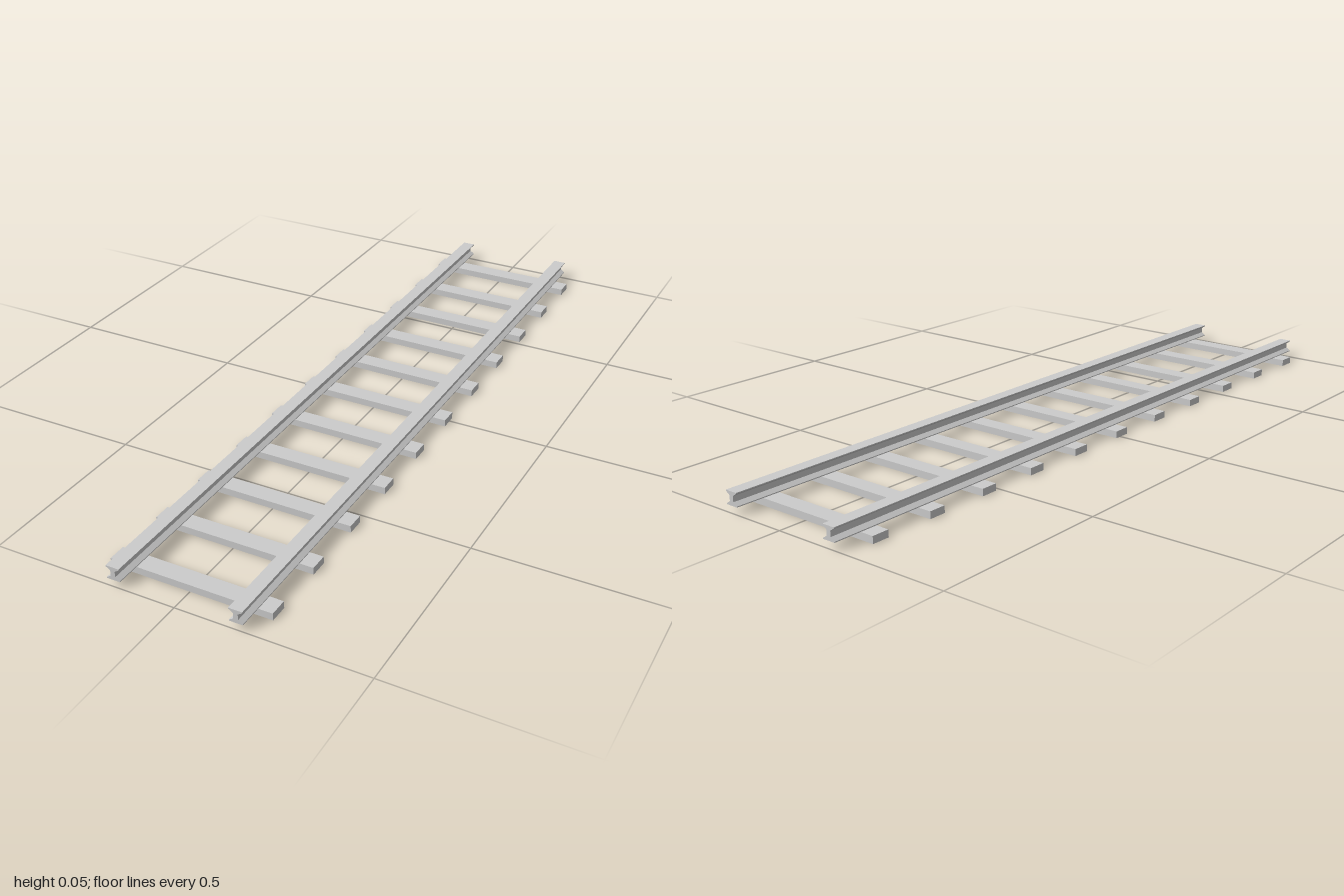
import * as THREE from 'three';

const SLEEPERS = 11, SPACING = 0.1812, SLEEPER_HEIGHT = 0.019;
const RAIL_X = 0.1632, RAIL_LENGTH = 2;

// Right half of the rail section, from foot to head: [x, y]
const HALF_SECTION = [
  [0.018, 0.019], [0.018, 0.0215], [0.0062, 0.0295],
  [0.0062, 0.0445], [0.018, 0.0525], [0.018, 0.055],
];

export function createModel() {
  const track = new THREE.Group();
  track.name = 'railwayTrack';
  const material = new THREE.MeshStandardMaterial({ color: 0xcccccc, flatShading: true });

  // Two I-section rails, mirrored about the centre line
  const mirrored = HALF_SECTION.map(([x, y]) => [-x, y]).reverse();
  const section = new THREE.Shape([...HALF_SECTION, ...mirrored].map(([x, y]) => new THREE.Vector2(x, y)));
  const railGeometry = new THREE.ExtrudeGeometry(section, { depth: RAIL_LENGTH, bevelEnabled: false });
  railGeometry.translate(0, 0, -RAIL_LENGTH / 2);
  for (const [name, side] of [['leftRail', 1], ['rightRail', -1]]) {
    const rail = new THREE.Mesh(railGeometry, material);
    rail.name = name;
    rail.position.x = side * RAIL_X;
    track.add(rail);
  }

  // Evenly spaced sleepers, set slightly towards the front
  const sleepers = new THREE.Group();
  sleepers.name = 'sleepers';
  sleepers.position.set(0, SLEEPER_HEIGHT / 2, 0.007);
  const sleeperGeometry = new THREE.BoxGeometry(0.437, SLEEPER_HEIGHT, 0.048);
  for (let i = 0; i < SLEEPERS; i++) {
    const sleeper = new THREE.Mesh(sleeperGeometry, material);
    sleeper.name = `sleeper${i + 1}`;
    sleeper.position.z = (i - (SLEEPERS - 1) / 2) * SPACING;
    sleepers.add(sleeper);
  }
  track.add(sleepers);

  return track;
}
